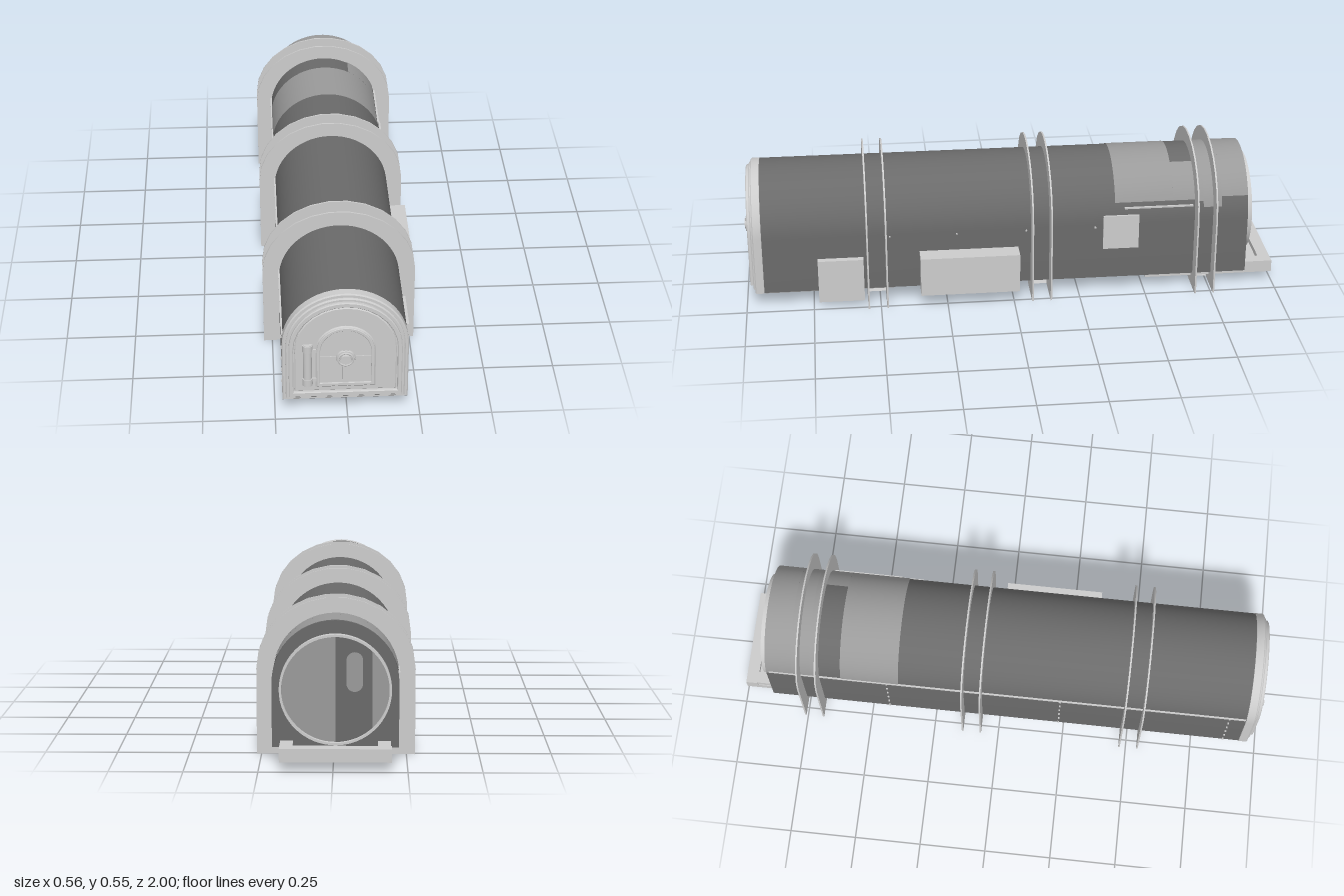
import * as THREE from 'three';
import { toCreasedNormals } from 'three/addons/utils/BufferGeometryUtils.js';

const mat = (name, color, side = THREE.FrontSide) => {
  const m = new THREE.MeshStandardMaterial({ color, side });
  m.name = name;
  return m;
};

// Arch outline: straight sides up to the spring line, elliptical crown above
function tracePath(path, hw, y0, spring, top, n) {
  path.moveTo(-hw, y0);
  path.lineTo(hw, y0);
  for (let i = 0; i <= n; i++) {
    const a = (i / n) * Math.PI;
    path.lineTo(hw * Math.cos(a), spring + (top - spring) * Math.sin(a));
  }
  path.closePath();
  return path;
}
const arch = (hw, y0, spring, top, n = 28) => tracePath(new THREE.Shape(), hw, y0, spring, top, n);
const archHole = (hw, y0, spring, top, n = 28) => tracePath(new THREE.Path(), hw, y0, spring, top, n);

export function createModel() {
  const light = mat('lightMetal', 0xcccccc);
  const mid = mat('wornGrey', 0x9a9a9a, THREE.DoubleSide);
  const dark = mat('darkShell', 0x6a6a6a, THREE.DoubleSide);

  const root = new THREE.Group();
  const g = new THREE.Group();
  g.name = 'boiler';
  g.position.x = -0.007;
  root.add(g);

  const add = (name, geo, m, x = 0, y = 0, z = 0, parent = g) => {
    const mesh = new THREE.Mesh(geo, m);
    mesh.name = name;
    mesh.position.set(x, y, z);
    parent.add(mesh);
    return mesh;
  };
  // Box given by its limits on each axis
  const box = (name, m, x0, x1, y0, y1, z0, z1) =>
    add(name, new THREE.BoxGeometry(x1 - x0, y1 - y0, z1 - z0), m, (x0 + x1) / 2, (y0 + y1) / 2, (z0 + z1) / 2);
  // Extrusion between two z values, with an optional chamfer on the ends
  const slab = (name, shape, m, z0, z1, bevel = 0) => {
    const geo = new THREE.ExtrudeGeometry(shape, {
      depth: z1 - z0 - 2 * bevel, curveSegments: 24, bevelEnabled: bevel > 0,
      bevelSize: bevel, bevelThickness: bevel, bevelOffset: -bevel, bevelSegments: 1,
    });
    return add(name, toCreasedNormals(geo, 0.45), m, 0, 0, z0 + bevel);
  };

  // Long arched shell
  const R = 0.215, SPRING = 0.28;
  slab('shell', arch(R, 0.058, SPRING, 0.495), dark, -0.89, 0.94);

  // Worn patches laid over the crown; angles are measured from the +x side
  const crownPatch = (a0, a1, z0, z1) => {
    const r = R + 0.002, rows = 26, geo = new THREE.PlaneGeometry(1, 1, rows, 1);
    const p = geo.attributes.position;
    for (let i = 0; i < p.count; i++) {
      const a = THREE.MathUtils.degToRad(a0 + (p.getX(i) + 0.5) * (a1 - a0));
      p.setXYZ(i, r * Math.cos(a), SPRING + r * Math.sin(a), p.getY(i) > 0 ? z0 : z1);
    }
    geo.computeVertexNormals();
    add('wornCrown', geo, mid);
  };
  crownPatch(22, 174, -0.605, -0.385);
  crownPatch(22, 63, -0.69, -0.605);
  crownPatch(20, 174, -0.72, -0.69);
  crownPatch(14, 174, -0.79, -0.72);
  crownPatch(24, 174, -0.89, -0.79);

  // Worn underside at the front, with a dark rounded mark
  box('wornUnderside', mid, -0.213, 0.213, 0.055, 0.06, 0.45, 0.93);
  const mark = new THREE.Shape();
  mark.absarc(0.08, 0, 0.05, -Math.PI / 2, Math.PI / 2);
  mark.absarc(-0.08, 0, 0.05, Math.PI / 2, Math.PI * 1.5);
  add('undersideMark', new THREE.ShapeGeometry(mark), dark, 0, 0.053, 0.8).rotation.x = Math.PI / 2;

  // Three pairs of thin arched flanges, joined by sloping plates at the feet
  for (const z of [0.51, -0.105, -0.725]) {
    const s = new THREE.Shape();
    s.moveTo(-0.273, 0);
    s.lineTo(-0.138, 0.002);
    s.lineTo(-0.112, 0.06);
    s.lineTo(0.112, 0.06);
    s.lineTo(0.138, 0.002);
    s.lineTo(0.273, 0);
    for (let i = 0; i <= 13; i++) {
      const a = (i / 13) * Math.PI;
      s.lineTo(0.273 * Math.cos(a), 0.303 + 0.247 * Math.sin(a));
    }
    s.closePath();
    for (const d of [-0.035, 0.035]) slab('flange', s, light, z + d - 0.003, z + d + 0.003);
    for (const k of [-1, 1]) {
      const plate = add('footPlate', new THREE.BoxGeometry(0.005, 0.064, 0.07), light, k * 0.126, 0.032, z);
      plate.rotation.z = k * 0.42;
    }
  }

  // Stepped front frame
  slab('frontCap', arch(0.2165, 0.056, SPRING, 0.496), light, 0.93, 0.966, 0.004);
  slab('frameStep', arch(0.205, 0.068, 0.279, 0.483), light, 0.96, 0.973, 0.004);
  const rim = arch(0.194, 0.08, 0.278, 0.472, 20);
  rim.holes.push(archHole(0.178, 0.1, 0.277, 0.453, 14));
  slab('frameRim', rim, light, 0.965, 0.984, 0.003);
  slab('frontPanel', arch(0.174, 0.104, 0.277, 0.449, 14), light, 0.965, 0.979, 0.003);

  // Door with raised border, cross bars and round hub
  slab('door', arch(0.103, 0.12, 0.274, 0.376, 18), light, 0.97, 0.985, 0.006);
  const border = arch(0.099, 0.128, 0.274, 0.372, 18);
  border.holes.push(archHole(0.087, 0.142, 0.274, 0.36, 18));
  slab('doorBorder', border, light, 0.975, 0.989, 0.002);
  box('crossBar', light, -0.01, 0.01, 0.136, 0.365, 0.975, 0.988);
  box('crossBar', light, -0.09, 0.09, 0.236, 0.254, 0.975, 0.988);
  const disc = (name, r0, r1, z0, z1) =>
    add(name, new THREE.CylinderGeometry(r1, r0, z1 - z0, 24), light, 0, 0.245, (z0 + z1) / 2).rotation.x = Math.PI / 2;
  disc('hub', 0.037, 0.032, 0.975, 0.992);
  disc('hubKnob', 0.02, 0.018, 0.98, 1.0);
  add('hubRing', new THREE.TorusGeometry(0.025, 0.004, 8, 24), light, 0, 0.245, 0.993);

  // Hinge post with end caps and arms
  const pin = (name, r, y0, y1) =>
    add(name, new THREE.CylinderGeometry(r, r, y1 - y0, 16), light, -0.13, (y0 + y1) / 2, 0.979);
  pin('hingePost', 0.015, 0.13, 0.303);
  pin('hingeCap', 0.018, 0.133, 0.16);
  pin('hingeCap', 0.018, 0.275, 0.301);
  for (const y of [0.155, 0.277]) box('hingeArm', light, -0.13, -0.095, y - 0.006, y + 0.006, 0.97, 0.986);

  // Equipment boxes and plate on the model's left side
  box('lowBox', light, 0.163, 0.239, 0.02, 0.19, 0.56, 0.73);
  box('longBox', light, 0.2, 0.285, 0.052, 0.204, -0.02, 0.35);
  box('sidePlate', light, 0.208, 0.22, 0.18, 0.315, -0.475, -0.34);
  box('sideRail', light, 0.2, 0.212, 0.338, 0.344, -0.68, -0.42);
  for (const z of [0.46, 0.21, -0.05, -0.31]) box('rivet', light, 0.212, 0.218, 0.267, 0.273, z - 0.003, z + 0.003);

  // Seam and rivet columns on the other side
  box('seam', light, -0.218, -0.205, 0.309, 0.314, -0.88, 0.93);
  for (const z of [0.87, 0.23, -0.43])
    for (let i = 0; i < 6; i++)
      box('rivet', light, -0.219, -0.21, 0.062 + i * 0.048, 0.072 + i * 0.048, z - 0.003, z + 0.003);

  // Rear tray: a floor plate and a raised U-shaped lip
  box('trayFloor', light, -0.19, 0.187, 0.034, 0.06, -1, -0.51);
  box('trayLip', light, -0.19, 0.187, 0.06, 0.08, -1, -0.955);
  for (const k of [-1, 1]) box('trayLip', light, k * 0.165 - 0.022, k * 0.165 + 0.022, 0.06, 0.08, -0.955, -0.89);

  // Round rear opening, turned to face backwards
  const rear = new THREE.Group();
  rear.name = 'rearCover';
  rear.position.set(0, 0.26, -0.89);
  rear.rotation.y = Math.PI;
  g.add(rear);
  const ring = new THREE.Shape().absarc(0, 0, 0.19, 0, Math.PI * 2);
  ring.holes.push(new THREE.Path().absarc(0, 0, 0.182, 0, Math.PI * 2));
  const ringGeo = new THREE.ExtrudeGeometry(ring, { depth: 0.022, bevelEnabled: false, curveSegments: 32 });
  add('rearRing', toCreasedNormals(ringGeo, 0.5), light, 0, 0, 0, rear);
  add('rearDisc', new THREE.CircleGeometry(0.184, 40), mid, 0, 0, 0.006, rear);
  const stripe = new THREE.Shape();
  stripe.absarc(0, 0, 0.182, -Math.PI / 2, -0.82);
  stripe.absarc(0, 0, 0.182, 0.82, Math.PI / 2);
  add('rearStripe', new THREE.ShapeGeometry(stripe), dark, 0, 0, 0.008, rear);
  const spot = new THREE.Shape();
  spot.absarc(0, 0.04, 0.028, 0, Math.PI);
  spot.absarc(0, -0.04, 0.028, Math.PI, Math.PI * 2);
  add('rearSpot', new THREE.ShapeGeometry(spot), mid, 0.065, 0.06, 0.01, rear);

  return root;
}
